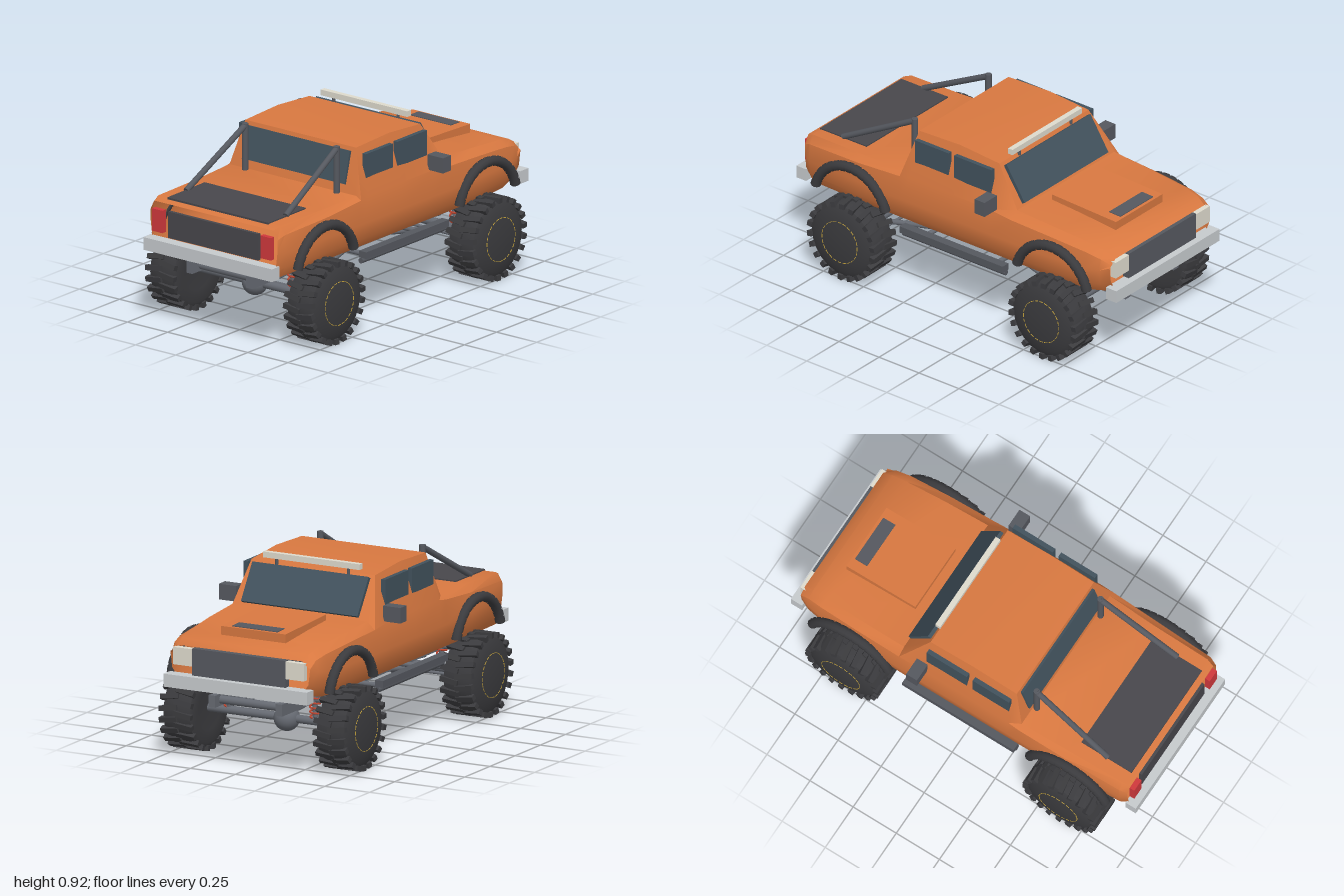
import * as THREE from 'three';
import { toCreasedNormals } from 'three/addons/utils/BufferGeometryUtils.js';

const mat = (color, side = THREE.FrontSide) => new THREE.MeshStandardMaterial({ color, side });
const M = {
  paint: mat(0xd87840, THREE.DoubleSide), dark: mat(0x48474c), glass: mat(0x42525d),
  rubber: mat(0x3b3b3e), trim: mat(0x55585f), steel: mat(0x666a72), bumper: mat(0xc6cacd),
  lamp: mat(0xdedacd), red: mat(0xd0383c), gold: mat(0xc9a63c), blue: mat(0x2f78ad), spring: mat(0xc0452f),
};

export function createModel() {
  const root = new THREE.Group();
  root.name = 'pickupTruck';

  const add = (name, geo, material, parent = root) => {
    const m = new THREE.Mesh(geo, material);
    m.name = name;
    parent.add(m);
    return m;
  };
  // Box given by its limits on each axis
  const box = (name, material, x0, x1, y0, y1, z0, z1, parent) => {
    const m = add(name, new THREE.BoxGeometry(x1 - x0, y1 - y0, z1 - z0), material, parent);
    m.position.set((x0 + x1) / 2, (y0 + y1) / 2, (z0 + z1) / 2);
    return m;
  };
  // Round bar between two points
  const bar = (name, material, a, b, r, parent) => {
    const p = new THREE.Vector3(...a), q = new THREE.Vector3(...b), d = q.clone().sub(p);
    const m = add(name, new THREE.CylinderGeometry(r, r, d.length(), 14), material, parent);
    m.position.copy(p).add(q).multiplyScalar(0.5);
    m.quaternion.setFromUnitVectors(new THREE.Vector3(0, 1, 0), d.normalize());
    return m;
  };
  // Thin pane leaning along the x-y line from a to b
  const pane = (name, material, a, b, halfWidth, thick) => {
    const dx = b[0] - a[0], dy = b[1] - a[1];
    const m = add(name, new THREE.BoxGeometry(Math.hypot(dx, dy), thick, halfWidth * 2), material);
    m.position.set((a[0] + b[0]) / 2, (a[1] + b[1]) / 2, 0);
    m.rotation.z = Math.atan2(dy, dx);
    return m;
  };

  // Body shell: x, bottom y, bottom w, side w, belt y, belt w, top y, top w
  const sections = [
    [-0.95, 0.40, 0.355, 0.395, 0.59, 0.395, 0.635, 0.37],
    [-0.91, 0.39, 0.38, 0.415, 0.61, 0.41, 0.65, 0.38],
    [-0.60, 0.39, 0.39, 0.43, 0.62, 0.42, 0.652, 0.385],
    [-0.335, 0.39, 0.39, 0.435, 0.64, 0.425, 0.658, 0.395],
    [-0.275, 0.39, 0.39, 0.435, 0.65, 0.423, 0.88, 0.345],
    [-0.02, 0.39, 0.39, 0.435, 0.65, 0.422, 0.89, 0.345],
    [0.225, 0.39, 0.39, 0.435, 0.65, 0.422, 0.872, 0.345],
    [0.36, 0.39, 0.39, 0.435, 0.635, 0.42, 0.672, 0.375],
    [0.60, 0.39, 0.39, 0.43, 0.625, 0.415, 0.657, 0.37],
    [0.82, 0.395, 0.38, 0.42, 0.61, 0.405, 0.638, 0.36],
    [0.90, 0.41, 0.365, 0.41, 0.595, 0.395, 0.622, 0.355],
    [0.95, 0.43, 0.345, 0.39, 0.57, 0.375, 0.595, 0.345],
  ];
  const pos = [], idx = [];
  for (const [x, yb, wb, ws, yl, wl, yt, wt] of sections) {
    const half = [[wb, yb], [ws * 0.975, yb + 0.05], [ws, yb + 0.13], [wl, yl], [wt, yt]];
    const mirrored = half.map(([z, y]) => [-z, y]).reverse();
    for (const [z, y] of [...half, ...mirrored]) pos.push(x, y, z);
  }
  const n = 10;
  for (let i = 0; i < sections.length - 1; i++) {
    for (let j = 0; j < n; j++) {
      const a = i * n + j, d = i * n + (j + 1) % n;
      idx.push(a, a + n, d + n, a, d + n, d);
    }
  }
  const shell = new THREE.BufferGeometry();
  shell.setAttribute('position', new THREE.Float32BufferAttribute(pos, 3));
  shell.setIndex(idx);
  add('body', toCreasedNormals(shell, 0.6), M.paint);

  // Glass
  pane('windshield', M.glass, [0.245, 0.862], [0.358, 0.688], 0.325, 0.02);
  pane('rearWindow', M.glass, [-0.325, 0.70], [-0.284, 0.86], 0.32, 0.02);
  // Hood scoop with its vent
  pane('hoodScoop', M.paint, [0.42, 0.674], [0.82, 0.66], 0.18, 0.045);
  pane('hoodVent', M.trim, [0.735, 0.685], [0.805, 0.683], 0.127, 0.008);
  pane('bedCover', M.dark, [-0.92, 0.65], [-0.63, 0.652], 0.315, 0.012);
  box('tailgate', M.dark, -0.958, -0.94, 0.465, 0.60, -0.28, 0.28);
  box('grille', M.trim, 0.93, 0.965, 0.455, 0.59, -0.26, 0.26);
  box('frontBumper', M.bumper, 0.935, 1.0, 0.39, 0.455, -0.4, 0.4);
  box('rearBumper', M.bumper, -1.0, -0.94, 0.39, 0.455, -0.4, 0.4);
  box('roofLightBar', M.lamp, 0.218, 0.246, 0.893, 0.922, -0.27, 0.27);

  for (const s of [1, -1]) {
    const zbox = (name, material, x0, x1, y0, y1, z0, z1) =>
      box(name, material, x0, x1, y0, y1, Math.min(s * z0, s * z1), Math.max(s * z0, s * z1));
    zbox('rearSideWindow', M.glass, -0.262, -0.052, 0.71, 0.853, 0.373, 0.396);
    zbox('frontSideWindow', M.glass, -0.018, 0.215, 0.71, 0.853, 0.373, 0.396);
    zbox('mirror', M.trim, 0.2, 0.262, 0.657, 0.735, 0.41, 0.507);
    zbox('headlight', M.lamp, 0.935, 0.968, 0.50, 0.587, 0.262, 0.365);
    zbox('tailLight', M.red, -0.972, -0.945, 0.487, 0.602, 0.305, 0.37);
    bar('lightBarMount', M.trim, [0.232, 0.86, s * 0.2], [0.232, 0.9, s * 0.2], 0.008);
    // Roll bar
    bar('rollBarPost', M.trim, [-0.352, 0.64, s * 0.285], [-0.352, 0.895, s * 0.285], 0.016);
    bar('rollBarBrace', M.trim, [-0.35, 0.885, s * 0.285], [-0.78, 0.655, s * 0.31], 0.015);
    // Frame rails and side steps
    zbox('frameRail', M.steel, -0.91, 0.9, 0.29, 0.35, 0.168, 0.205);
    zbox('sideStep', M.trim, -0.32, 0.325, 0.34, 0.375, 0.4, 0.445);
    bar('stepTube', M.trim, [-0.32, 0.325, s * 0.41], [0.32, 0.325, s * 0.41], 0.014);
  }

  // Underside
  box('skidPlate', M.dark, -0.25, 0.25, 0.34, 0.392, -0.17, 0.17);
  for (const x of [-0.84, -0.4, 0.4, 0.84])
    bar('crossMember', M.steel, [x, 0.32, -0.18], [x, 0.32, 0.18], 0.021);
  for (const x of [-0.22, 0.22])
    bar('stepSupport', M.steel, [x, 0.322, -0.41], [x, 0.322, 0.41], 0.013);
  bar('driveShaft', M.steel, [-0.6, 0.22, 0], [-0.1, 0.33, 0], 0.016);
  bar('driveShaft', M.steel, [0.6, 0.22, -0.08], [0.1, 0.33, -0.04], 0.016);

  // Wheel: domed tire, staggered lugs and a stitched gold ring; outer side faces +z
  const tireProfile = [[0, -0.075], [0.11, -0.08], [0.17, -0.085], [0.19, -0.076], [0.199, -0.045],
    [0.2, 0], [0.199, 0.045], [0.19, 0.072], [0.165, 0.085], [0.11, 0.094], [0, 0.1]]
    .map(([r, y]) => new THREE.Vector2(r, y));
  const tireGeo = toCreasedNormals(new THREE.LatheGeometry(tireProfile, 40), 0.7);
  const lugGeo = new THREE.BoxGeometry(0.028, 0.026, 0.098);
  const dashGeo = new THREE.BoxGeometry(0.003, 0.02, 0.004);
  const makeWheel = () => {
    const wheel = new THREE.Group();
    wheel.name = 'wheel';
    add('tire', tireGeo, M.rubber, wheel).rotation.x = Math.PI / 2;
    for (let i = 0; i < 44; i++) {
      const a = i / 44 * Math.PI * 2, spoke = new THREE.Group();
      spoke.name = 'tread';
      spoke.rotation.z = a;
      const side = i % 2 ? 1 : -1;
      const lug = add('lug', lugGeo, M.rubber, spoke);
      lug.position.set(0.197, 0, side * 0.04);
      lug.rotation.x = side * 0.15;
      wheel.add(spoke);
    }
    for (let i = 0; i < 24; i++) {
      const a = i / 24 * Math.PI * 2;
      const dash = add('rimStitch', dashGeo, M.gold, wheel);
      dash.position.set(Math.cos(a) * 0.11, Math.sin(a) * 0.11, 0.094);
      dash.rotation.z = a;
    }
    return wheel;
  };

  // Coil spring path
  const coil = [];
  for (let i = 0; i <= 60; i++) {
    const a = i / 60 * Math.PI * 10;
    coil.push(new THREE.Vector3(Math.cos(a) * 0.025, i / 60 * 0.125, Math.sin(a) * 0.025));
  }
  const coilGeo = new THREE.TubeGeometry(new THREE.CatmullRomCurve3(coil), 120, 0.005, 6);

  // Fender flare: ribbed arch
  const arcStart = 0.25, arc = Math.PI - 2 * arcStart, ribs = 15;
  const flareGeo = new THREE.TorusGeometry(0.225, 0.023, 10, 28, arc);
  const ribGeo = new THREE.TorusGeometry(0.225, 0.026, 10, 2, arc / ribs * 0.82);

  for (const e of [1, -1]) {
    const x = e * 0.63;
    bar('axle', M.steel, [x, 0.215, -0.38], [x, 0.215, 0.38], 0.021);
    const diff = add('differential', new THREE.SphereGeometry(0.065, 24, 16), M.steel);
    diff.position.set(x, 0.213, e > 0 ? -0.08 : 0);
    bar('tieRod', M.steel, [x - e * 0.07, 0.205, -0.36], [x - e * 0.07, 0.205, 0.36], 0.008);
    for (const s of [1, -1]) {
      const wheel = makeWheel();
      wheel.position.set(x, 0.21, s * 0.43);
      if (s < 0) wheel.rotation.y = Math.PI;
      root.add(wheel);

      const flare = new THREE.Group();
      flare.name = 'fenderFlare';
      flare.position.set(x, 0.365, s * 0.44);
      add('flareArch', flareGeo, M.rubber, flare).rotation.z = arcStart;
      for (let i = 0; i < ribs; i++)
        add('flareRib', ribGeo, M.rubber, flare).rotation.z = arcStart + (i + 0.09) * arc / ribs;
      root.add(flare);

      // Suspension
      const shock = new THREE.Group();
      shock.name = 'shock';
      shock.position.set(x, 0.235, s * 0.24);
      shock.rotation.x = -s * 0.06;
      add('spring', coilGeo, M.spring, shock);
      bar('shockRod', M.steel, [0, -0.01, 0], [0, 0.14, 0], 0.013, shock);
      bar('shockBody', M.blue, [0, 0.12, 0], [0, 0.165, 0], 0.017, shock);
      root.add(shock);
      bar('lowerLink', M.steel, [x, 0.225, s * 0.26], [e * 0.16, 0.3, s * 0.19], 0.013);
      bar('upperLink', M.steel, [x, 0.265, s * 0.14], [e * 0.16, 0.32, s * 0.19], 0.011);
      bar('shockMount', M.steel, [x, 0.322, s * 0.19], [x, 0.322, s * 0.35], 0.012);
    }
  }
  return root;
}
